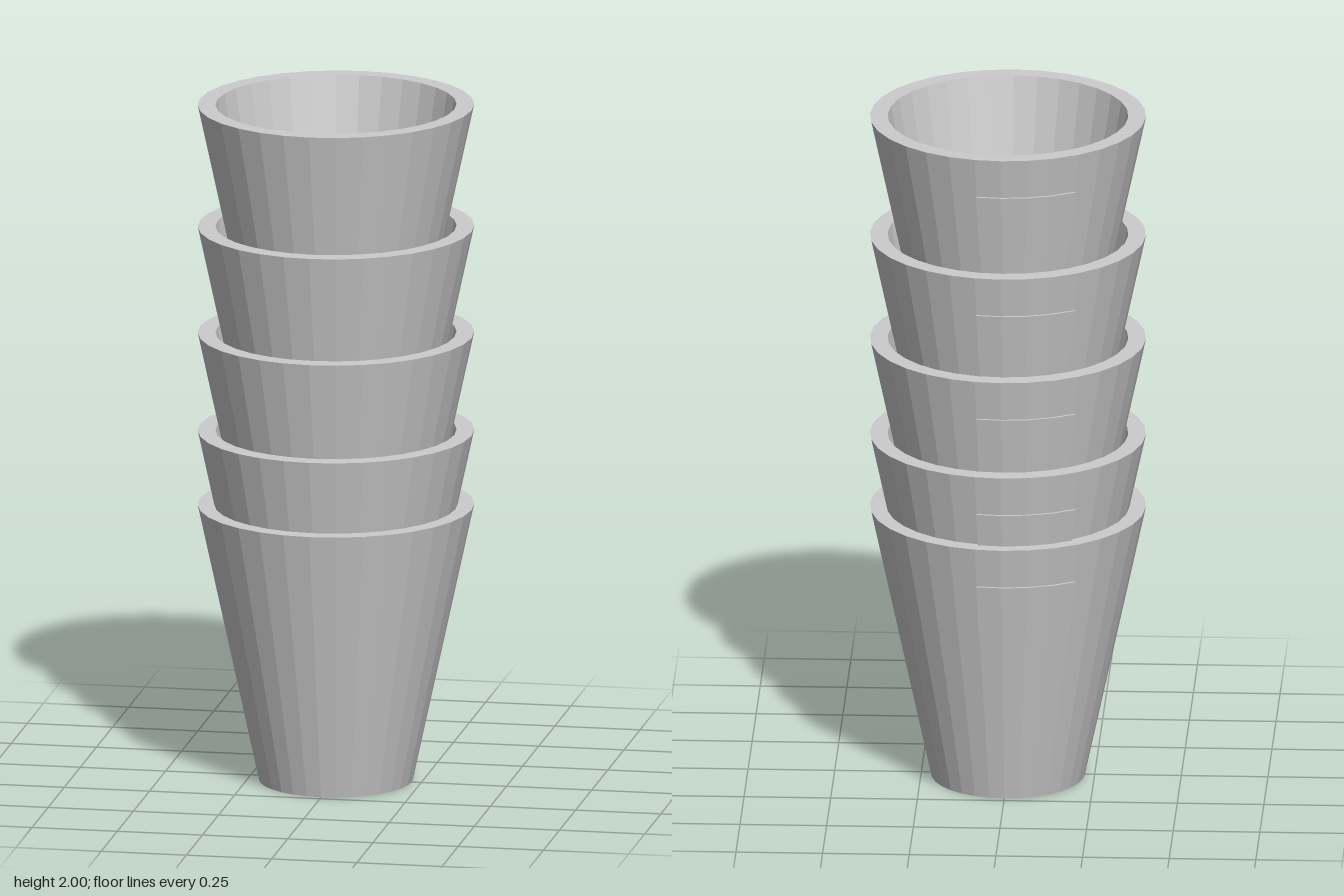
import * as THREE from 'three';

const SIDES = 32;
const HEIGHT = 0.815;
const RIM = 0.398, BASE = 0.222;
const DEPTH_SCALE = 1.043; // cups are slightly deeper than wide
const RIM_HEIGHTS = [0.815, 1.035, 1.325, 1.64, 2.0];

const material = new THREE.MeshStandardMaterial({ color: 0xcccccc, flatShading: true });
const thinMaterial = new THREE.MeshStandardMaterial({ color: 0xcccccc, flatShading: true, side: THREE.DoubleSide });

const outerRadius = (y) => BASE + (RIM - BASE) * (y / HEIGHT);
const points = (list) => list.map(([r, y]) => new THREE.Vector2(r, y));

// Tapered cup with a thick wall, flat rim and inner floor
function cupGeometry() {
  return new THREE.LatheGeometry(points([
    [0, 0], [BASE, 0], [RIM, HEIGHT], [0.347, HEIGHT], [0.227, 0.15], [0, 0.15],
  ]), SIDES);
}

// Curved plate that follows four facets on the back of the cup
function makePlate() {
  const plate = new THREE.Group();
  plate.name = 'backPlate';
  const low = HEIGHT - 0.295, high = HEIGHT - 0.12;
  const profile = points([
    [outerRadius(low) + 0.001, low],
    [outerRadius(low) + 0.009, low],
    [outerRadius(high) + 0.009, high],
    [outerRadius(high) + 0.001, high],
    [outerRadius(low) + 0.001, low],
  ]);
  const step = (Math.PI * 2) / SIDES;
  const start = Math.PI - step, length = 4 * step;
  const band = new THREE.Mesh(new THREE.LatheGeometry(profile, 4, start, length), thinMaterial);
  band.name = 'plateBand';
  plate.add(band);

  // Close both ends of the band
  for (const angle of [start, start + length]) {
    const end = new THREE.Mesh(new THREE.ShapeGeometry(new THREE.Shape(profile.slice(0, 4))), thinMaterial);
    end.rotation.y = angle - Math.PI / 2;
    end.name = 'plateEnd';
    plate.add(end);
  }
  return plate;
}

export function createModel() {
  const model = new THREE.Group();
  model.name = 'cupStack';
  const geometry = cupGeometry();

  // Nested cups, each raised to its own rim height
  RIM_HEIGHTS.forEach((rim, i) => {
    const cup = new THREE.Group();
    cup.name = `cup${i + 1}`;
    const body = new THREE.Mesh(geometry, material);
    body.name = 'cupBody';
    cup.add(body, makePlate());
    cup.position.y = rim - HEIGHT;
    cup.scale.z = DEPTH_SCALE;
    model.add(cup);
  });
  return model;
}
